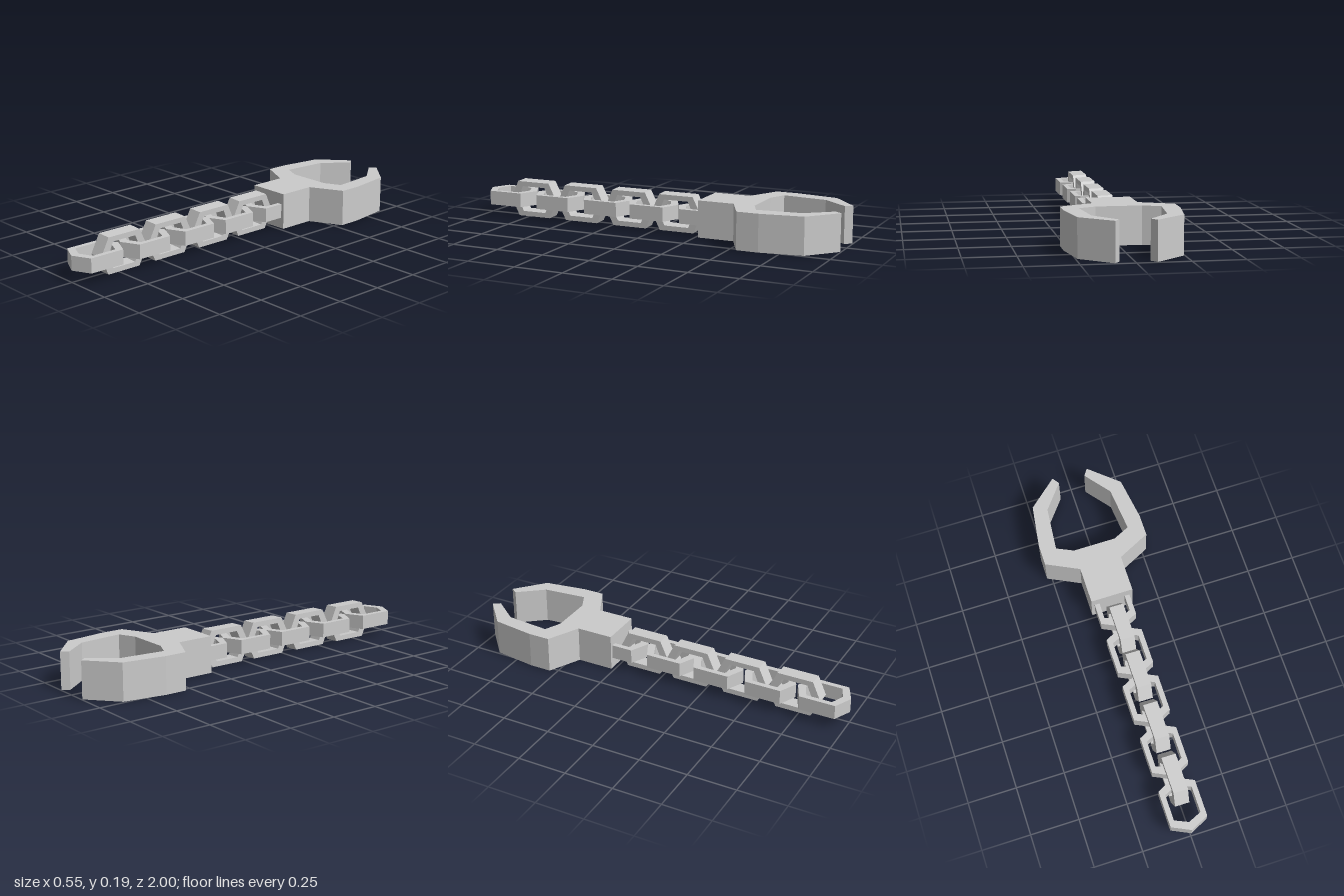
import * as THREE from 'three';

const MID = 0.097; // height of the chain's centre line

const toPoints = (list) => list.map(([x, y]) => new THREE.Vector2(x, y));

// Elongated hexagon outline: half width, shoulder and tip distances
const hexagon = (w, s, t) => toPoints([[w, -s], [w, s], [0, t], [-w, s], [-w, -s], [0, -t]]);

// Extrudes a plan outline (shape y points to the back, -z), centred on its height
function slab(shape, height) {
  const geo = new THREE.ExtrudeGeometry(shape, { depth: height, bevelEnabled: false });
  geo.translate(0, 0, -height / 2);
  geo.rotateX(-Math.PI / 2);
  return geo;
}

export function createModel() {
  const model = new THREE.Group();
  model.name = 'clampOnChain';
  const material = new THREE.MeshStandardMaterial({ color: 0xcccccc, flatShading: true });

  // Open clamp: right half of the outline, from the shank round the jaw, then mirrored
  const half = [
    [0.11, 0.266], [0.11, 0.456], [0.275, 0.538], [0.275, 0.65], [0.243, 0.868],
    [0.095, 0.998], [0.07, 0.963], [0.173, 0.832], [0.195, 0.606], [0.11, 0.566],
  ];
  const mirrored = half.map(([x, y]) => [-x, y]).reverse();
  const clamp = new THREE.Mesh(slab(new THREE.Shape(toPoints([...half, ...mirrored])), 0.188), material);
  clamp.name = 'clamp';
  clamp.position.y = MID;
  model.add(clamp);

  // Chain link: hexagonal ring
  const ring = new THREE.Shape(hexagon(0.094, 0.093, 0.138));
  ring.holes.push(new THREE.Path(hexagon(0.068, 0.066, 0.096)));
  const linkGeometry = slab(ring, 0.074);

  const chain = new THREE.Group();
  chain.name = 'chain';
  const addLink = (name, z, roll) => {
    const link = new THREE.Mesh(linkGeometry, material);
    link.name = name;
    link.position.set(0, MID, z);
    link.rotation.z = roll;
    chain.add(link);
  };

  // Flat links, the last one sunk into the clamp's shank
  [0.861, 0.576, 0.293, 0.029, -0.249].forEach((z, i) => addLink(`flatLink${i + 1}`, z, 0));
  // Upright links, leaning slightly
  [0.719, 0.435, 0.153, -0.113].forEach((z, i) => addLink(`uprightLink${i + 1}`, z, Math.PI / 2 - 0.042));
  model.add(chain);

  return model;
}
